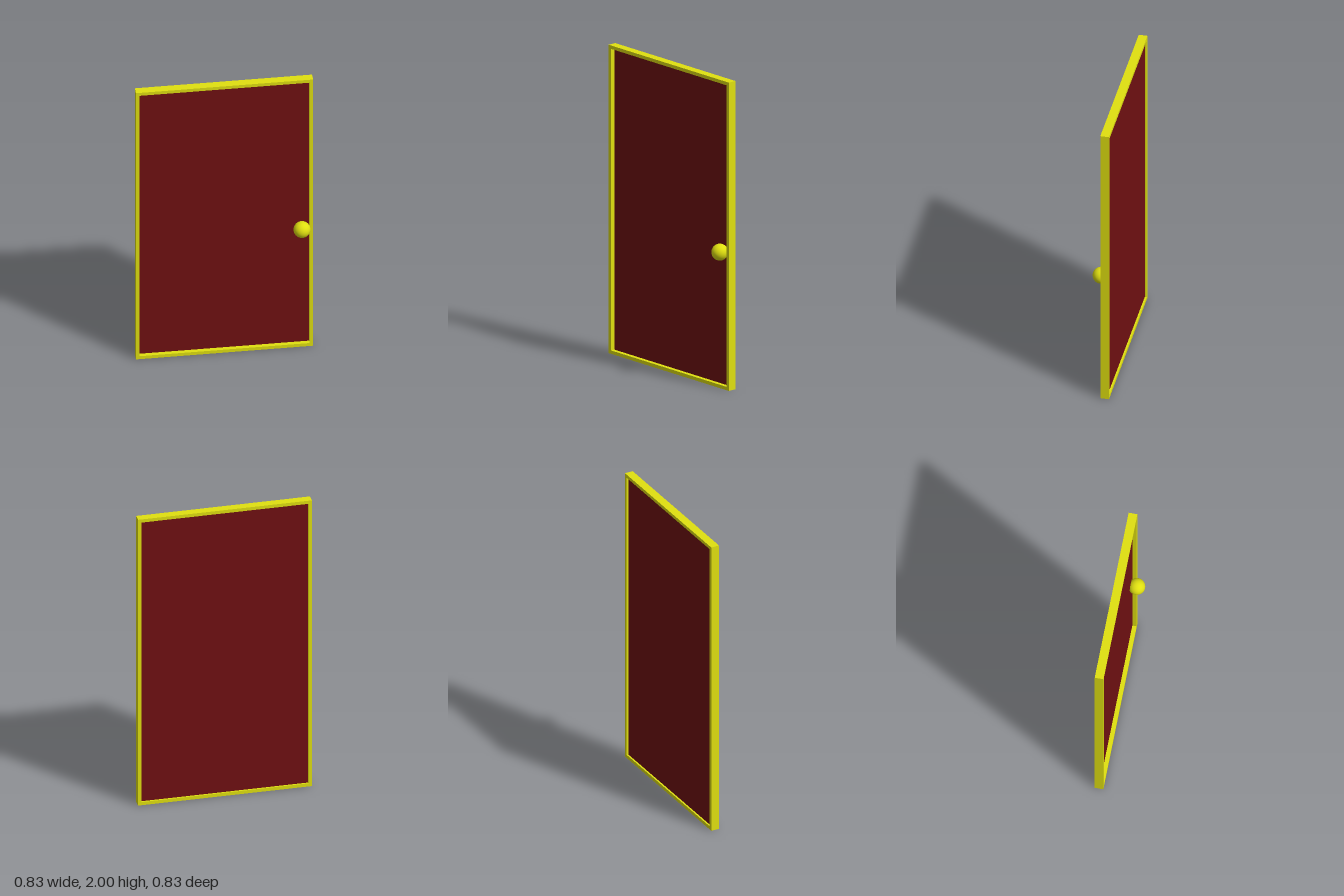
import * as THREE from 'three';

const WIDTH = 1.112, HEIGHT = 2, DEPTH = 0.055, BAR = 0.022;

export function createModel() {
  const yellow = new THREE.MeshStandardMaterial({ color: 0xe0e010 });
  const red = new THREE.MeshStandardMaterial({ color: 0x701012 });

  const door = new THREE.Group();
  door.name = 'door';
  const add = (name, geometry, material, x, y, z) => {
    const mesh = new THREE.Mesh(geometry, material);
    mesh.name = name;
    mesh.position.set(x, y, z);
    door.add(mesh);
  };

  // Rectangular frame with an open middle
  const outline = new THREE.Shape();
  const w = WIDTH / 2, iw = w - BAR;
  outline.moveTo(-w, 0).lineTo(w, 0).lineTo(w, HEIGHT).lineTo(-w, HEIGHT).closePath();
  const opening = new THREE.Path();
  opening.moveTo(-iw, BAR).lineTo(-iw, HEIGHT - BAR).lineTo(iw, HEIGHT - BAR).lineTo(iw, BAR).closePath();
  outline.holes.push(opening);
  const frame = new THREE.ExtrudeGeometry(outline, { depth: DEPTH, bevelEnabled: false });
  add('frame', frame, yellow, 0, 0, -DEPTH / 2);

  // Recessed panel
  const panel = new THREE.BoxGeometry(iw * 2, HEIGHT - BAR * 2, 0.016);
  add('panel', panel, red, 0, HEIGHT / 2, -0.008);

  // Round knob, front side only
  add('knob', new THREE.SphereGeometry(0.053, 32, 16), yellow, 0.484, 0.887, 0.038);

  // The door stands swung open by an eighth turn
  door.rotation.y = Math.PI / 4;
  door.position.x = -0.005;

  const model = new THREE.Group();
  model.add(door);
  return model;
}
